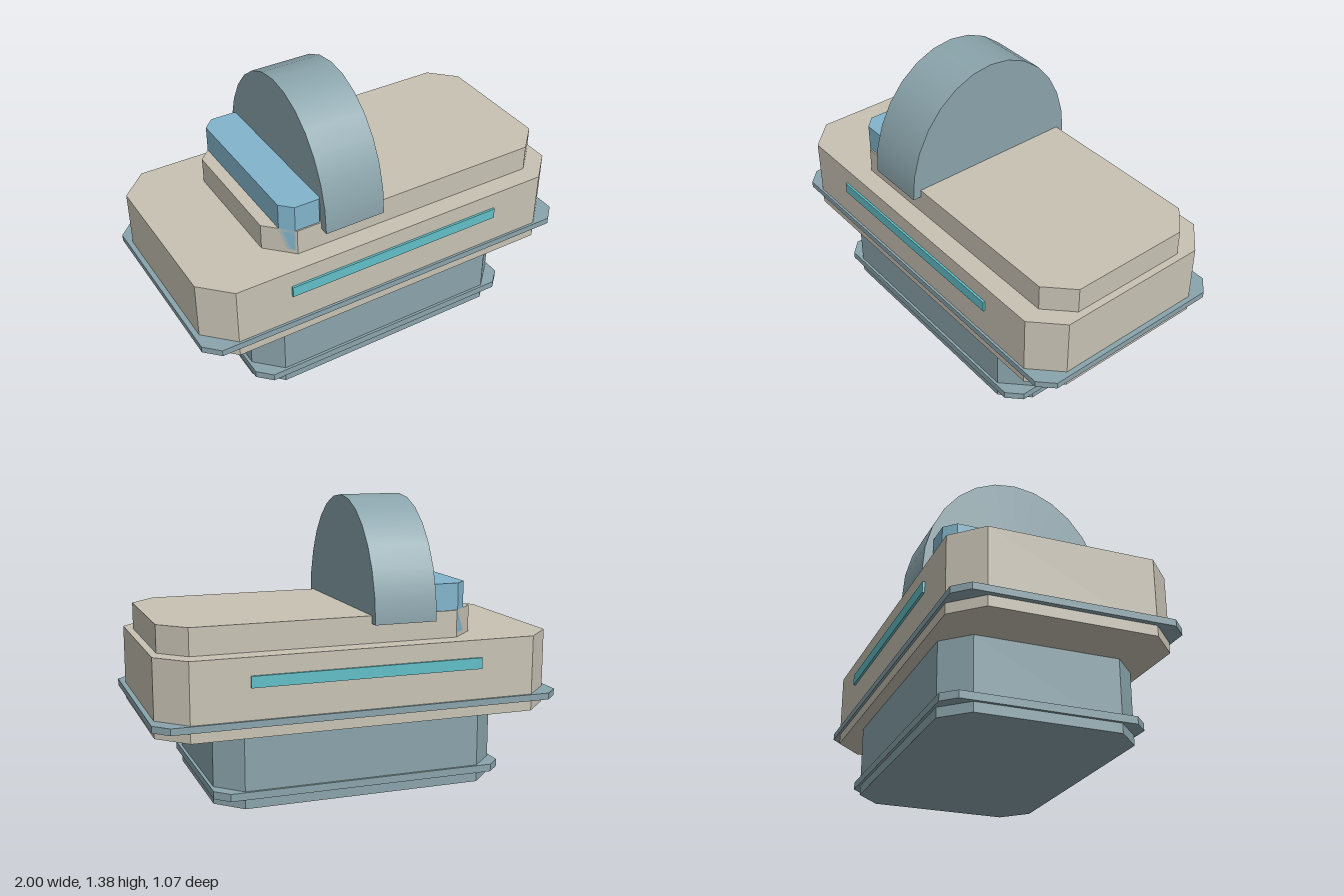
import * as THREE from 'three';

const material = (name, color) => {
  const m = new THREE.MeshStandardMaterial({ color });
  m.name = name;
  return m;
};

export function createModel() {
  const group = new THREE.Group();
  const beige = material('warm beige', 0xc8c2b4);
  const slate = material('slate blue', 0x8aa4ab);
  const glass = material('pale blue glass', 0x82b5cc);
  const teal = material('teal light', 0x62bfc7);

  const add = (name, geometry, mat) => {
    const mesh = new THREE.Mesh(geometry, mat);
    mesh.name = name;
    group.add(mesh);
    return mesh;
  };

  // Flat slab with four cut corners, lying between y0 and y1
  const slab = (name, x0, x1, halfZ, cut, y0, y1, mat) => {
    const shape = new THREE.Shape([
      [x0 + cut, -halfZ], [x1 - cut, -halfZ], [x1, -halfZ + cut], [x1, halfZ - cut],
      [x1 - cut, halfZ], [x0 + cut, halfZ], [x0, halfZ - cut], [x0, -halfZ + cut],
    ].map(([x, z]) => new THREE.Vector2(x, z)));
    const geometry = new THREE.ExtrudeGeometry(shape, { depth: y1 - y0, bevelEnabled: false });
    geometry.rotateX(-Math.PI / 2).translate(0, y0, 0);
    return add(name, geometry, mat);
  };

  // Stacked body
  slab('base', -0.703, 0.703, 0.465, 0.12, 0, 0.35, slate);
  slab('baseRim', -0.718, 0.718, 0.478, 0.065, 0.047, 0.083, slate);
  slab('hull', -0.975, 0.975, 0.523, 0.135, 0.35, 0.72, beige);
  slab('hullTrim', -1, 1, 0.535, 0.07, 0.4, 0.432, slate);
  slab('upperDeck', -0.6, 0.94, 0.427, 0.122, 0.72, 0.85, beige);
  slab('window', -0.54, -0.305, 0.42, 0.055, 0.74, 0.98, glass);

  // Half-elliptical arch across the deck, with its flat underside
  const width = 0.308, archX = -0.199, archY = 0.812;
  const arch = new THREE.CylinderGeometry(1, 1, width, 14, 1, false, 0, Math.PI);
  arch.rotateZ(Math.PI / 2).scale(1, 0.568, 0.47).translate(archX, archY, 0);
  add('arch', arch, slate);
  const underside = new THREE.PlaneGeometry(width, 0.94);
  underside.rotateX(Math.PI / 2).translate(archX, archY, 0);
  add('archUnderside', underside, slate);

  // Light strips on the front and back of the hull
  for (const side of [1, -1]) {
    const strip = new THREE.BoxGeometry(1.13, 0.054, 0.016);
    strip.translate(0, 0.608, side * 0.526);
    add(side > 0 ? 'frontLightStrip' : 'backLightStrip', strip, teal);
  }
  return group;
}
